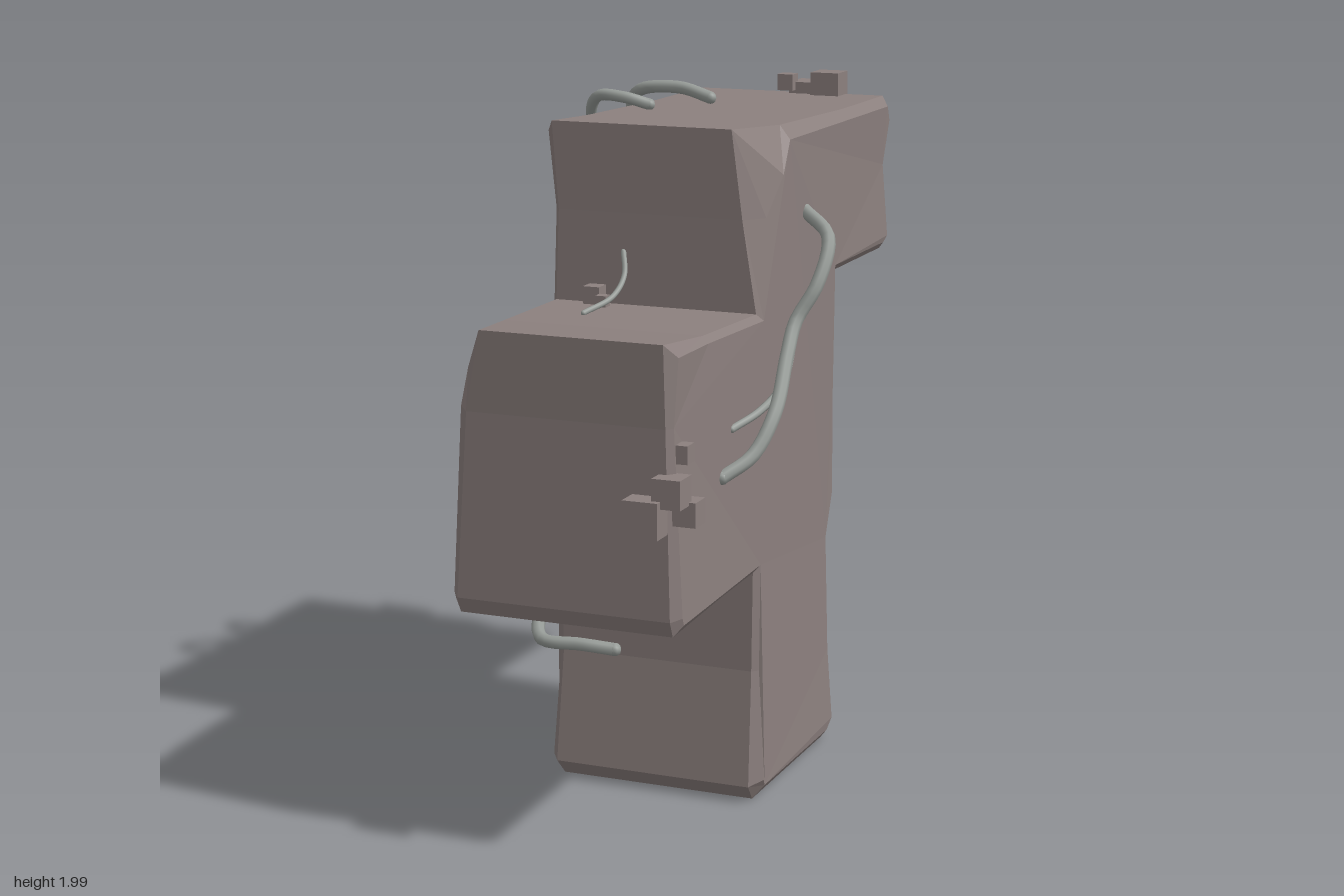
import * as THREE from 'three';

const stone = new THREE.MeshStandardMaterial({ color: 0x8c807e, flatShading: true });
const vineMat = new THREE.MeshStandardMaterial({ color: 0x979c98 });

// Side outline, counter-clockwise seen from +x: [z, y, half width, chip at -x, chip at +x]
const OUTLINE = [
  [0.20, 0.01, 0.325, 0.03, 0.04], [-0.38, 0.01, 0.32, 0.03, 0.03], [-0.43, 0.06, 0.325, 0.03, 0.03],
  [-0.41, 0.30, 0.315, 0.02, 0.03], [-0.385, 0.65, 0.31, 0.03, 0.02], [-0.435, 0.78, 0.315, 0.05, 0.03],
  [-0.42, 1.10, 0.315, 0.02, 0.02], [-0.415, 1.46, 0.32, 0.02, 0.02], [-0.85, 1.46, 0.32, 0.02, 0.02],
  [-0.885, 1.49, 0.325, 0.02, 0.02], [-0.87, 1.72, 0.315, 0.03, 0.03], [-0.90, 1.86, 0.325, 0.03, 0.03],
  [-0.87, 1.93, 0.325, 0.03, 0.03], [-0.50, 1.93, 0.315, 0.02, 0.02], [0.0, 1.94, 0.32, 0.02, 0.04],
  [0.225, 1.95, 0.335, 0.03, 0.13], [0.22, 1.70, 0.31, 0.02, 0.06], [0.22, 1.44, 0.32, 0.02, 0.02],
  [0.60, 1.45, 0.315, 0.04, 0.02], [0.87, 1.475, 0.325, 0.12, 0.035], [0.86, 1.25, 0.315, 0.05, 0.02],
  [0.86, 0.73, 0.335, 0.03, 0.03], [0.84, 0.685, 0.335, 0.03, 0.03], [0.45, 0.69, 0.315, 0.02, 0.02],
  [0.22, 0.695, 0.315, 0.02, 0.02], [0.215, 0.40, 0.31, 0.02, 0.02], [0.245, 0.06, 0.33, 0.03, 0.04],
];

// Moves an outline corner inward by d along its mitre
function inset(i, d) {
  const n = OUTLINE.length;
  const [p, q, r] = [i + n - 1, i, i + 1].map(k => new THREE.Vector2(-OUTLINE[k % n][0], OUTLINE[k % n][1]));
  const e1 = q.clone().sub(p).normalize(), e2 = r.clone().sub(q).normalize();
  const n1 = new THREE.Vector2(-e1.y, e1.x), n2 = new THREE.Vector2(-e2.y, e2.x);
  const m = n1.clone().add(n2).normalize();
  return q.addScaledVector(m, d / Math.max(0.5, m.dot(n1)));
}

// Stone body: two flat sides joined by chipped edges and the outline walls
function bodyGeometry() {
  const n = OUTLINE.length, pos = [], index = [], left = [], right = [];
  OUTLINE.forEach(([, , , bL], i) => left.push(inset(i, bL)));
  OUTLINE.forEach(([, , , , bR], i) => right.push(inset(i, bR)));
  for (let ring = 0; ring < 4; ring++) {
    OUTLINE.forEach(([z, y, w, bL, bR], i) => {
      if (ring === 0) pos.push(0.005 - w, left[i].y, -left[i].x);
      if (ring === 1) pos.push(0.005 - w + bL * 0.8, y, z);
      if (ring === 2) pos.push(0.005 + w - bR * 0.8, y, z);
      if (ring === 3) pos.push(0.005 + w, right[i].y, -right[i].x);
    });
  }
  for (let ring = 0; ring < 3; ring++) {
    for (let i = 0; i < n; i++) {
      const j = (i + 1) % n, a = ring * n + i, b = ring * n + j;
      index.push(a, b, b + n, a, b + n, a + n);
    }
  }
  for (const [a, b, c] of THREE.ShapeUtils.triangulateShape(left, [])) index.push(a, c, b);
  for (const [a, b, c] of THREE.ShapeUtils.triangulateShape(right, [])) index.push(3 * n + a, 3 * n + b, 3 * n + c);
  const g = new THREE.BufferGeometry();
  g.setAttribute('position', new THREE.Float32BufferAttribute(pos, 3));
  g.setIndex(index);
  const flat = g.toNonIndexed();
  flat.computeVertexNormals();
  return flat;
}

// Vine: a tube along a smooth path with rounded tips
function vine(name, radius, points) {
  const group = new THREE.Group();
  group.name = name;
  const path = new THREE.CatmullRomCurve3(points.map(p => new THREE.Vector3(...p)));
  group.add(new THREE.Mesh(new THREE.TubeGeometry(path, 36, radius, 8), vineMat));
  for (const t of [0, 1]) {
    const tip = new THREE.Mesh(new THREE.SphereGeometry(radius, 8, 6), vineMat);
    tip.position.copy(path.getPoint(t));
    group.add(tip);
  }
  group.children.forEach((m, i) => { m.name = i ? 'vineTip' : 'vineStem'; });
  return group;
}

// Cluster of small cubes: [x, y, z, size]
function cubes(name, list) {
  const group = new THREE.Group();
  group.name = name;
  for (const [x, y, z, s] of list) {
    const cube = new THREE.Mesh(new THREE.BoxGeometry(s, s, s), stone);
    cube.name = 'cube';
    cube.position.set(x, y, z);
    group.add(cube);
  }
  return group;
}

export function createModel() {
  const model = new THREE.Group();
  model.name = 'steppedStone';
  const body = new THREE.Mesh(bodyGeometry(), stone);
  body.name = 'stoneBody';
  model.add(body);

  model.add(
    vine('leftVine', 0.02, [[0.32, 1.04, 0.50], [0.38, 1.09, 0.43], [0.41, 1.19, 0.34], [0.38, 1.32, 0.16],
      [0.375, 1.4, 0.08], [0.42, 1.5, 0.03], [0.42, 1.62, -0.06], [0.32, 1.68, -0.14]]),
    vine('leftThinVine', 0.011, [[0.32, 1.16, 0.43], [0.36, 1.19, 0.33], [0.37, 1.235, 0.17],
      [0.355, 1.3, 0.06], [0.32, 1.36, -0.05]]),
    vine('lowerVine', 0.02, [[-0.12, 0.42, 0.23], [-0.22, 0.43, 0.25], [-0.34, 0.43, 0.25], [-0.41, 0.46, 0.12],
      [-0.43, 0.46, 0.02], [-0.4, 0.42, -0.12], [-0.36, 0.38, -0.24], [-0.31, 0.36, -0.26]]),
    vine('topBackVine', 0.019, [[-0.1, 1.95, -0.46], [-0.2, 1.975, -0.47], [-0.33, 1.965, -0.48], [-0.39, 1.91, -0.54],
      [-0.385, 1.73, -0.57], [-0.365, 1.56, -0.55], [-0.32, 1.45, -0.53]]),
    vine('topFrontVine', 0.017, [[-0.2, 1.95, -0.23], [-0.27, 1.97, -0.21], [-0.36, 1.97, -0.22],
      [-0.41, 1.9, -0.28], [-0.4, 1.81, -0.38], [-0.36, 1.73, -0.45], [-0.31, 1.7, -0.47]]),
    vine('ledgeVine', 0.008, [[-0.09, 1.59, 0.22], [-0.075, 1.53, 0.25], [-0.08, 1.48, 0.32], [-0.12, 1.45, 0.43]]),
  );

  model.add(
    cubes('frontCubes', [[0.26, 1.02, 0.88, 0.1], [0.325, 1.09, 0.87, 0.08], [0.35, 1.025, 0.815, 0.068], [0.33, 1.18, 0.81, 0.05]]),
    cubes('topCubes', [[0.07, 1.91, -0.885, 0.11], [0.14, 1.955, -0.845, 0.09], [0.01, 1.965, -0.83, 0.05]]),
    cubes('lowerBackCubes', [[-0.355, 0.365, -0.37, 0.088], [-0.29, 0.35, -0.44, 0.07], [-0.33, 0.29, -0.43, 0.05], [-0.25, 0.28, -0.43, 0.045]]),
    cubes('ledgeCubes', [[-0.165, 1.47, 0.255, 0.05], [-0.125, 1.46, 0.29, 0.032]]),
  );
  return model;
}
